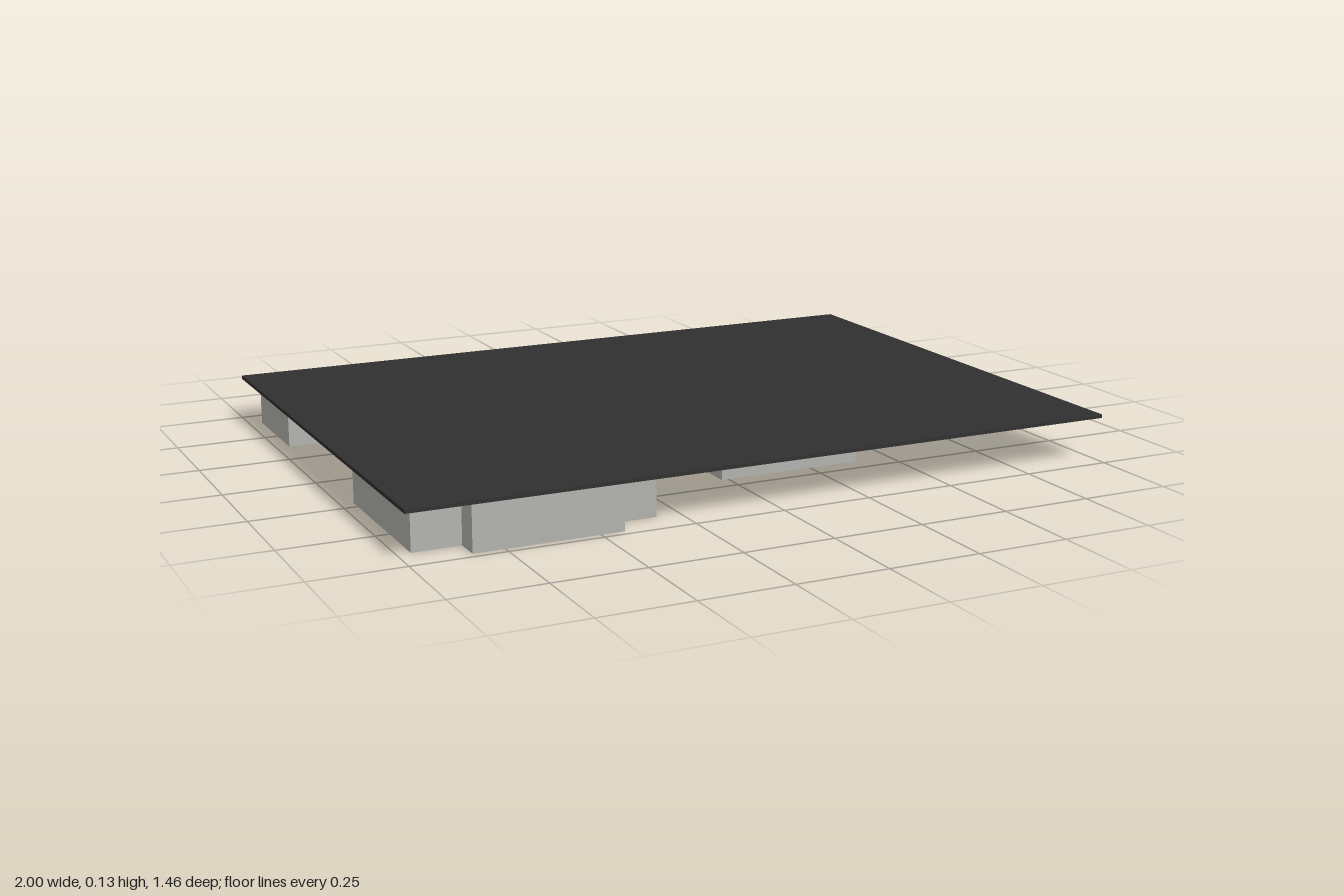
import * as THREE from 'three';

const WALL_TOP = 0.122, THICK = 0.008;

// Building footprint, as [x, z] corners
const outline = [
  [0.245, -0.42], [-0.56, -0.42], [-0.56, -0.715], [-0.685, -0.715], [-0.685, -0.66], [-0.96, -0.66],
  [-0.96, -0.38], [-0.69, -0.38], [-0.69, -0.24], [-0.476, -0.24], [-0.476, -0.11], [-0.58, -0.11],
  [-0.58, 0], [-0.48, 0], [-0.48, 0.15], [-0.83, 0.15], [-0.83, 0.22], [-0.96, 0.22],
  [-0.96, 0.655], [-0.83, 0.655], [-0.83, 0.725], [-0.44, 0.725], [-0.44, 0.655], [-0.32, 0.655],
  [-0.32, 0.28], [-0.015, 0.28], [-0.015, 0.44], [0.39, 0.44], [0.39, 0.26], [0.22, 0.26],
  [0.22, 0.15], [0.43, 0.15], [0.43, 0.065], [0.48, 0.065], [0.48, 0], [0.605, 0],
  [0.605, -0.095], [0.96, -0.095], [0.96, -0.485], [0.535, -0.485], [0.535, -0.2], [0.4, -0.2],
  [0.4, -0.12], [0.245, -0.12],
];
const courtyard = [[-0.52, 0.27], [-0.765, 0.27], [-0.765, 0.555], [-0.52, 0.555]];

// Inner walls, as [x1, z1, x2, z2]
const hallWalls = [
  [0.16, -0.34, 0.16, -0.2], [0.16, -0.12, 0.16, 0.18], [0.16, 0.18, -0.09, 0.18],
  [-0.39, -0.145, -0.39, -0.34], [-0.39, -0.34, -0.25, -0.34], [-0.17, -0.34, 0.08, -0.34],
  [-0.476, -0.42, -0.476, -0.32], [0.16, -0.27, 0.09, -0.27],
];
const roomWalls = [
  [-0.015, 0.28, 0.12, 0.28], [0.18, 0.26, 0.22, 0.26], [0.19, 0.33, 0.19, 0.44],
  [0.22, 0.15, 0.22, 0.06], [0.245, -0.12, 0.245, -0.04], [0.34, 0.065, 0.43, 0.065],
  [0.4, -0.12, 0.4, -0.02], [0.48, 0, 0.42, 0], [0.535, -0.2, 0.535, -0.095],
  [-0.56, -0.42, -0.56, -0.3], [-0.69, -0.38, -0.62, -0.38], [-0.476, -0.11, -0.476, -0.03],
  [-0.32, 0.28, -0.32, 0.2], [-0.48, 0.15, -0.37, 0.15],
];
const wingWalls = [
  [-0.44, 0.15, -0.44, 0.25], [-0.44, 0.31, -0.44, 0.41], [-0.44, 0.47, -0.44, 0.6],
  [-0.83, 0.22, -0.83, 0.36], [-0.83, 0.42, -0.83, 0.6], [-0.44, 0.63, -0.55, 0.63],
  [-0.61, 0.63, -0.7, 0.63], [-0.75, 0.63, -0.83, 0.63], [-0.5, 0.21, -0.78, 0.21],
  [-0.32, 0.36, -0.44, 0.36], [-0.32, 0.51, -0.44, 0.51],
  [-0.83, 0.36, -0.96, 0.36], [-0.83, 0.51, -0.96, 0.51],
  [-0.57, 0.63, -0.57, 0.725], [-0.7, 0.63, -0.7, 0.725],
];

export function createModel() {
  const model = new THREE.Group();
  const wallMat = new THREE.MeshStandardMaterial({ color: 0xb2b2ae });
  wallMat.name = 'wallGrey';
  const floorMat = new THREE.MeshStandardMaterial({ color: 0x60322c });
  floorMat.name = 'floorBrown';
  const roofMat = new THREE.MeshStandardMaterial({ color: 0x303030 });
  roofMat.name = 'roofCharcoal';

  // Upright wall from one floor point to another
  function addWall(group, x1, z1, x2, z2) {
    const dx = x2 - x1, dz = z2 - z1;
    const geo = new THREE.BoxGeometry(Math.hypot(dx, dz) + THICK, WALL_TOP, THICK);
    const wall = new THREE.Mesh(geo, wallMat);
    wall.name = 'wall';
    wall.position.set((x1 + x2) / 2, WALL_TOP / 2, (z1 + z2) / 2);
    wall.rotation.y = -Math.atan2(dz, dx);
    group.add(wall);
  }
  function addGroup(name) {
    const group = new THREE.Group();
    group.name = name;
    model.add(group);
    return group;
  }
  function addLoop(name, points) {
    const group = addGroup(name);
    points.forEach((p, i) => addWall(group, ...p, ...points[(i + 1) % points.length]));
  }

  // Flat roof slab over everything
  const roof = new THREE.Mesh(new THREE.BoxGeometry(2, 0.01, 1.46), roofMat);
  roof.name = 'roof';
  roof.position.y = 0.127;
  model.add(roof);

  // Floor plate, open at the courtyard
  const toVectors = (pts) => pts.map(([x, z]) => new THREE.Vector2(x, z));
  const shape = new THREE.Shape(toVectors(outline));
  shape.holes.push(new THREE.Path(toVectors(courtyard)));
  const floorGeo = new THREE.ExtrudeGeometry(shape, { depth: 0.004, bevelEnabled: false });
  floorGeo.rotateX(Math.PI / 2).translate(0, 0.006, 0);
  const floor = new THREE.Mesh(floorGeo, floorMat);
  floor.name = 'floor';
  model.add(floor);

  // Outer walls and courtyard walls
  addLoop('outerWalls', outline);
  addLoop('courtyardWalls', courtyard);

  // Partitions
  for (const [name, list] of Object.entries({ hallWalls, roomWalls, wingWalls })) {
    const group = addGroup(name);
    list.forEach((w) => addWall(group, ...w));
  }

  // Stepped diagonal side of the great hall
  const steps = addGroup('steppedHallWall');
  const n = 14, sx = -0.3 / n, sz = -0.325 / n;
  for (let i = 0; i < n; i++) {
    const x = -0.09 + sx * i, z = 0.18 + sz * i;
    addWall(steps, x, z, x + sx, z);
    addWall(steps, x + sx, z, x + sx, z + sz);
  }
  return model;
}
